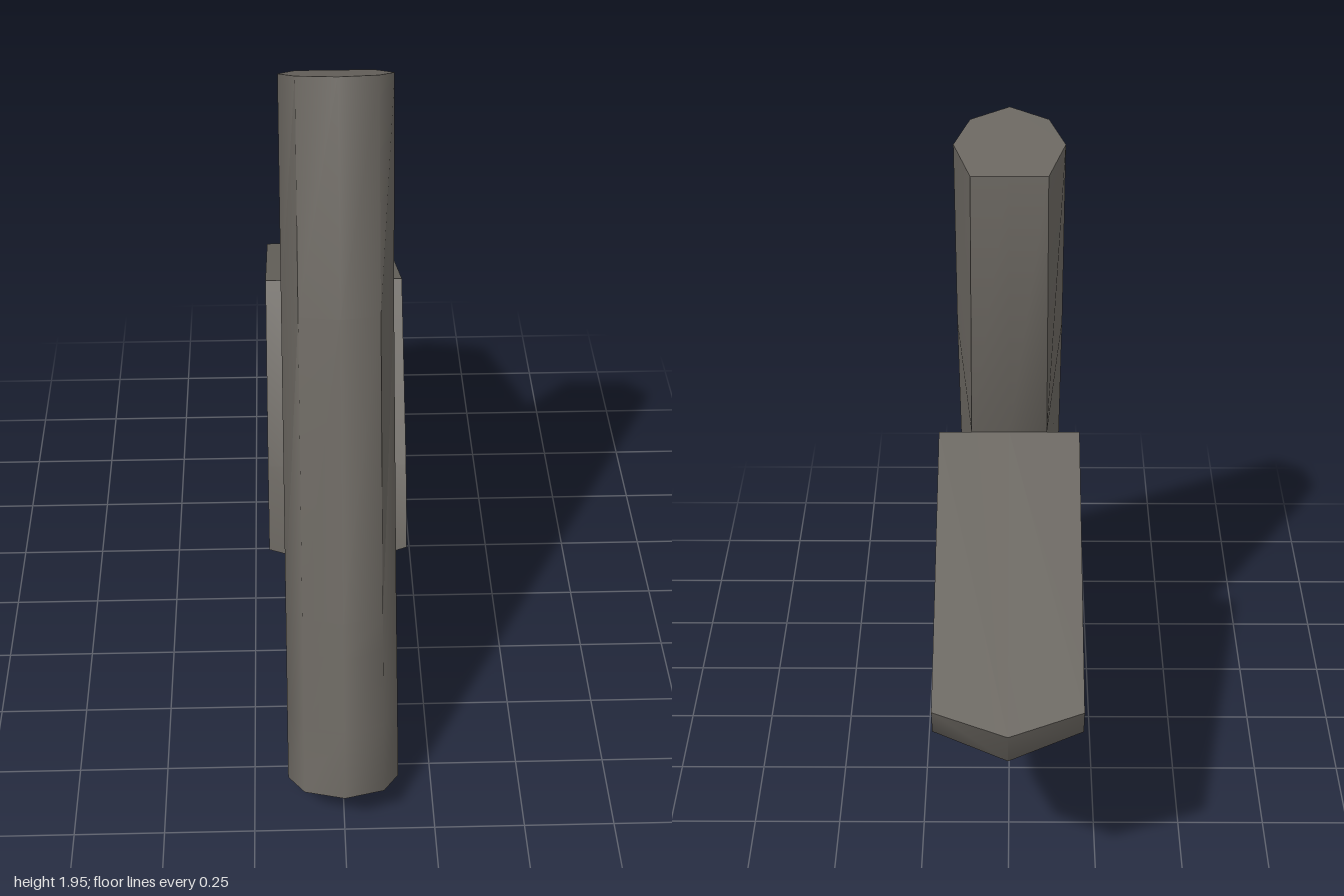
import * as THREE from 'three';
import { toCreasedNormals } from 'three/addons/utils/BufferGeometryUtils.js';

// Closed solid from a stack of equal-length rings, counterclockwise seen from the stacking direction
function loft(rings) {
  const p = [];
  const tri = (...v) => v.forEach((q) => p.push(...q));
  const n = rings[0].length;
  for (let i = 0; i < rings.length - 1; i++) {
    for (let j = 0; j < n; j++) {
      const k = (j + 1) % n;
      const a = rings[i][j], b = rings[i][k], c = rings[i + 1][k], d = rings[i + 1][j];
      tri(a, b, c);
      tri(a, c, d);
    }
  }
  const first = rings[0], last = rings[rings.length - 1];
  for (let j = 1; j < n - 1; j++) {
    tri(first[0], first[j + 1], first[j]);
    tri(last[0], last[j], last[j + 1]);
  }
  const g = new THREE.BufferGeometry();
  g.setAttribute('position', new THREE.Float32BufferAttribute(p, 3));
  return toCreasedNormals(g, THREE.MathUtils.degToRad(50));
}

// Leaning post: straight front ridge, eight-sided sections cut square to its axis
function postGeometry() {
  const front = [0.26, 1.945];      // top of the front ridge, as z, y
  const back = [-0.927, -0.375];    // direction from front ridge to back
  // back edge z, y and how far its middle ridge stands out
  const rows = [
    [0.71, 0, 0.052], [0.60, 0.16, 0.05], [0.43, 0.32, 0.05], [0.34, 0.39, 0.05],
    [-0.11, 1.11, 0], [0.01, 1.845, 0],
  ];
  return loft(rows.map(([z, y, ridge]) => {
    const w = (z - front[0]) * back[0] + (y - front[1]) * back[1];
    const mid = 0.155 + 0.25 * (w - 0.3);
    const at = (x, t) => [x, y + (t - w) * back[1], z + (t - w) * back[0]];
    return [
      at(0, 0), at(0.11, 0.05), at(0.155, mid), at(0.107, w - ridge),
      at(0, w), at(-0.107, w - ridge), at(-0.155, mid), at(-0.11, 0.05),
    ];
  }));
}

// Wide blade behind the post, with a keeled lower edge
function bladeGeometry() {
  const side = [
    [-0.11, 1.11], [0.25, 0.70], [0.345, 0.47], [0, 0.43], [-0.34, 0.45],
    [-0.64, 0.53], [-0.90, 0.66], [-0.935, 0.75],
  ];
  const keel = [
    [-0.11, 1.11], [0.25, 0.70], [0.335, 0.39], [0, 0.36], [-0.34, 0.38],
    [-0.65, 0.46], [-0.955, 0.605], [-1, 0.72],
  ];
  const ring = (pts, x) => pts.map(([z, y]) => [x, y, z]);
  return loft([ring(side, -0.2), ring(keel, 0), ring(side, 0.2)]);
}

export function createModel() {
  const group = new THREE.Group();
  const stone = new THREE.MeshStandardMaterial({ color: 0x68645e });
  stone.name = 'darkGrey';
  for (const [name, geometry] of [['post', postGeometry()], ['blade', bladeGeometry()]]) {
    const mesh = new THREE.Mesh(geometry, stone);
    mesh.name = name;
    group.add(mesh);
  }
  return group;
}
